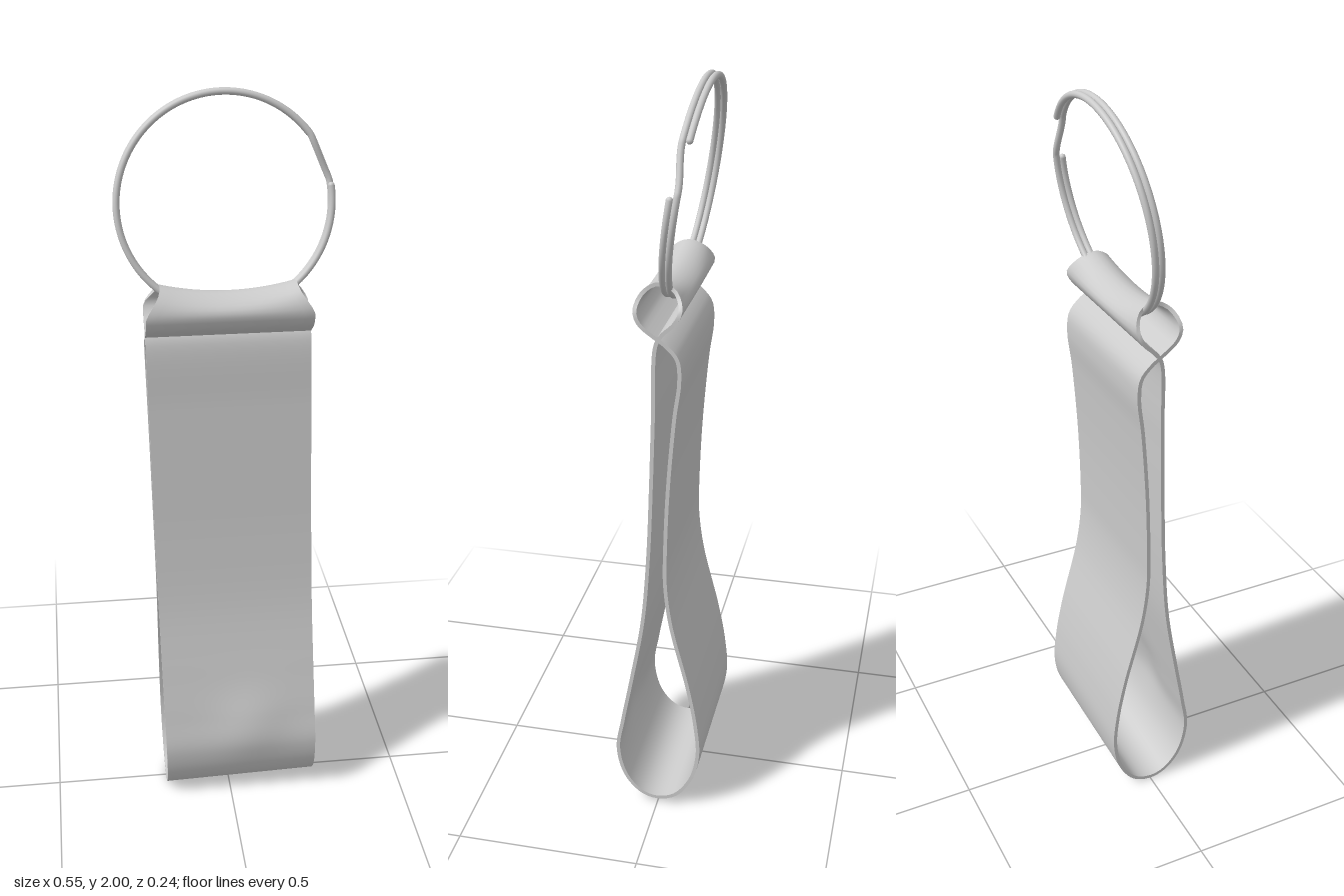
import * as THREE from 'three';
import { toCreasedNormals } from 'three/addons/utils/BufferGeometryUtils.js';

const grey = new THREE.MeshStandardMaterial({ color: 0xcccccc });

// Centreline of the strap seen from the side, as [z, y]: down the front,
// round the bottom, up the back, then across into the roll that holds the ring
const PATH = [
  [0.003, 1.39], [0.01, 1.2], [0.016, 1.0], [0.024, 0.8], [0.04, 0.6], [0.074, 0.4],
  [0.098, 0.27], [0.112, 0.17], [0.09, 0.075], [0.045, 0.022], [0, 0.009], [-0.05, 0.026],
  [-0.095, 0.09], [-0.114, 0.18], [-0.107, 0.28], [-0.085, 0.4], [-0.036, 0.6], [-0.021, 0.72],
  [-0.021, 0.82], [-0.028, 1.0], [-0.044, 1.2], [-0.056, 1.3], [-0.05, 1.355], [-0.022, 1.388],
  [0.012, 1.412], [0.045, 1.44], [0.056, 1.475], [0.042, 1.51], [0.005, 1.531], [-0.036, 1.518],
  [-0.057, 1.48], [-0.042, 1.445], [-0.014, 1.418],
];
const HALF_THICKNESS = 0.005;

// Left and right limits of the strap at a given height
function strapSides(y) {
  const t = Math.min(y / 1.4, 1);
  const pinch = 1 - 0.19 * THREE.MathUtils.smoothstep(y, 1.46, 1.535);
  return [(-0.184 - 0.026 * t) * pinch, (0.247 - 0.03 * t) * pinch];
}

function strapGeometry() {
  const curve = new THREE.CatmullRomCurve3(PATH.map(([z, y]) => new THREE.Vector3(0, y, z)), true);
  const steps = 240, across = 16, ring = 2 * (across + 1);
  const positions = [], index = [];
  for (let i = 0; i < steps; i++) {
    const p = curve.getPointAt(i / steps), d = curve.getTangentAt(i / steps);
    const [x0, x1] = strapSides(p.y);
    for (let k = 0; k < ring; k++) {
      const outer = k <= across;
      const f = (outer ? k : ring - 1 - k) / across;
      const side = outer ? HALF_THICKNESS : -HALF_THICKNESS;
      const x = x0 + (x1 - x0) * f;
      let y = p.y + d.z * side, z = p.z - d.y * side;
      // Soft bulge low on the front
      if (p.z > 0) z += 0.012 * Math.exp(-(((x - 0.06) / 0.09) ** 2) - ((y - 0.25) / 0.09) ** 2);
      // Roll sags in the middle, bottom edge runs slightly uphill
      y -= 0.022 * THREE.MathUtils.smoothstep(p.y, 1.45, 1.53) * (1 - (2 * f - 1) ** 2);
      y += 0.012 * f * (1 - THREE.MathUtils.smoothstep(p.y, 0, 0.3));
      positions.push(x, y, z);
      const a = i * ring + k, b = i * ring + (k + 1) % ring;
      const n = ((i + 1) % steps) * ring;
      const c = n + k, e = n + (k + 1) % ring;
      index.push(a, c, b, b, c, e);
    }
  }
  const geometry = new THREE.BufferGeometry();
  geometry.setAttribute('position', new THREE.Float32BufferAttribute(positions, 3));
  geometry.setIndex(index);
  return toCreasedNormals(geometry, 0.9);
}

// Split ring: nearly two turns of wire, stepping from the back coil to the front one
class SplitRingCurve extends THREE.Curve {
  getPoint(t, target = new THREE.Vector3()) {
    const deg = 38 + (728 - 38) * t;
    const angle = THREE.MathUtils.degToRad(deg);
    const cross = THREE.MathUtils.smoothstep(deg, 371, 397);
    let radius = 0.269;
    // The crossing is a straight chord
    if (deg > 371 && deg < 397) {
      const half = THREE.MathUtils.degToRad(13);
      radius *= Math.cos(half) / Math.cos(angle - THREE.MathUtils.degToRad(384));
    }
    return target.set(radius * Math.cos(angle), radius * Math.sin(angle), -0.008 + 0.016 * cross);
  }
}

function splitRing() {
  const group = new THREE.Group();
  group.name = 'splitRing';
  const curve = new SplitRingCurve(), wire = 0.0085;
  const coil = new THREE.Mesh(new THREE.TubeGeometry(curve, 320, wire, 12), grey);
  coil.name = 'ringCoil';
  group.add(coil);
  for (const t of [0, 1]) {
    const tip = new THREE.Mesh(new THREE.SphereGeometry(wire, 12, 8), grey);
    tip.name = t ? 'ringFrontEnd' : 'ringBackEnd';
    tip.position.copy(curve.getPoint(t));
    group.add(tip);
  }
  group.position.set(0, 1.726, -0.045);
  group.rotation.x = -0.15;
  return group;
}

export function createModel() {
  const model = new THREE.Group();
  model.name = 'keyFob';
  const strap = new THREE.Mesh(strapGeometry(), grey);
  strap.name = 'strapLoop';
  model.add(strap, splitRing());
  return model;
}
